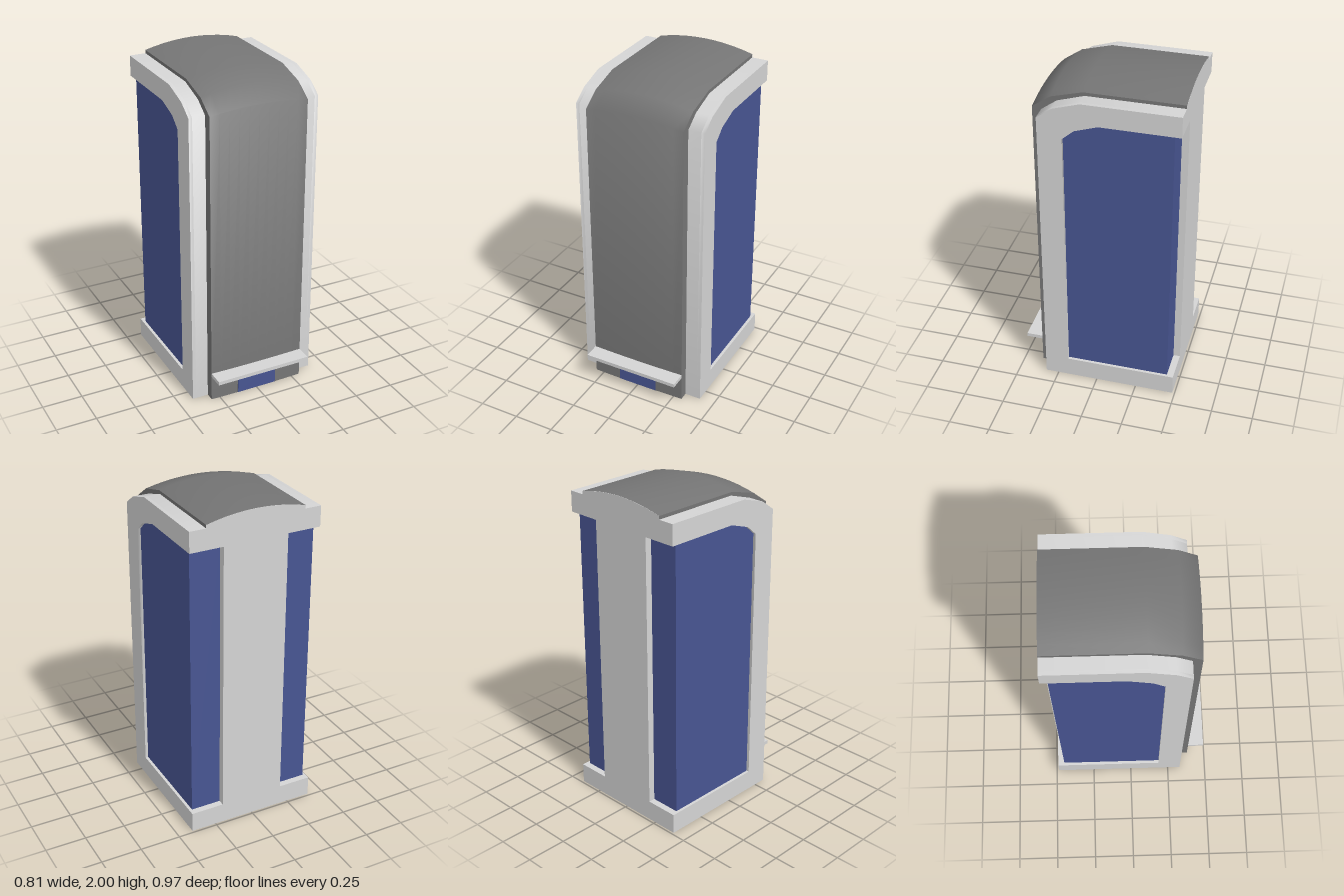
import * as THREE from 'three';
import { toCreasedNormals } from 'three/addons/utils/BufferGeometryUtils.js';

const material = (name, color) => new THREE.MeshStandardMaterial({ name, color });

export function createModel() {
  const group = new THREE.Group();
  const light = material('light grey', 0xd4d4d4);
  const dark = material('dark grey', 0x757575);
  const blue = material('blue', 0x485592);

  const add = (name, geometry, mat) => {
    const mesh = new THREE.Mesh(geometry, mat);
    mesh.name = name;
    group.add(mesh);
    return mesh;
  };
  const box = (name, mat, x0, x1, y0, y1, z0, z1) =>
    add(name, new THREE.BoxGeometry(x1 - x0, y1 - y0, z1 - z0), mat)
      .position.set((x0 + x1) / 2, (y0 + y1) / 2, (z0 + z1) / 2);
  // Extrudes an outline of [z, y] points sideways, from x0 to x1
  const slab = (name, mat, points, x0, x1) => {
    const shape = new THREE.Shape(points.map(([z, y]) => new THREE.Vector2(z, y)));
    const g = new THREE.ExtrudeGeometry(shape, { depth: x1 - x0, bevelEnabled: false });
    g.rotateY(-Math.PI / 2).translate(x1, 0, 0);
    add(name, toCreasedNormals(g, 1.0), mat);
  };

  const W = 0.405, INNER = 0.383, BACK = -0.485, INSET = -0.44, SPINE = 0.2;
  const BASE = 0.125, HEAD = 1.815, TOP = 1.94;
  const outer = [[0.33, 0], [0.33, 1.825], [0.24, 1.89], [0.08, TOP]];
  const pane = [[0.185, BASE], [0.185, 1.71], [0.115, 1.77], [-0.02, HEAD]];

  // Inner body, back spine and the ledges above and below the windows
  slab('body', light, [...outer, [INSET, TOP], [INSET, 0]], -INNER, INNER);
  box('backSpine', light, -SPINE, SPINE, BASE, HEAD, BACK, INSET);
  box('backBase', light, -INNER, INNER, 0, BASE, BACK, INSET);
  box('backHead', light, -INNER, INNER, HEAD, TOP, BACK, INSET);

  // Side frames and the windows wrapping round the back corners
  const frame = [...outer, [BACK, TOP], [BACK, HEAD], ...[...pane].reverse(), [BACK, BASE], [BACK, 0]];
  const glass = [...pane, [INSET - 0.004, HEAD], [INSET - 0.004, BASE]];
  for (const s of [-1, 1]) {
    const span = (a, b) => (s > 0 ? [a, b] : [-b, -a]);
    slab('sideFrame', light, frame, ...span(INNER, W));
    slab('sideWindow', blue, glass, ...span(INNER, INNER + 0.004));
    box('backWindow', blue, ...span(SPINE, INNER), BASE, HEAD, INSET - 0.004, INSET);
  }

  // Arched cover: stations of [z, y, z drop at edge, y drop at edge, inner z, inner y]
  const stations = [
    [0.39, 0, 0.005, 0, 0.33, 0],
    [0.39, 1.86, 0.005, 0.025, 0.33, 1.825],
    [0.28, 1.945, 0.005, 0.035, 0.24, 1.89],
    [0.09, 2, 0, 0.04, 0.08, TOP],
    [BACK, 2, 0, 0.04, BACK, TOP],
  ];
  const HALF = 0.305;
  const grid = (name, cols, point) => {
    const pos = [], index = [];
    stations.forEach((st, r) => {
      for (let c = 0; c <= cols; c++) {
        pos.push(...point(st, c / cols));
        if (r && c) {
          const d = r * (cols + 1) + c, b = d - cols - 1;
          index.push(b - 1, b, d, b - 1, d, d - 1);
        }
      }
    });
    const g = new THREE.BufferGeometry();
    g.setAttribute('position', new THREE.Float32BufferAttribute(pos, 3));
    g.setIndex(index);
    add(name, toCreasedNormals(g, 1.0), dark);
  };
  const outside = (st, x) => {
    const k = (x / HALF) ** 2;
    return [x, st[1] - st[3] * k, st[0] - st[2] * k];
  };
  grid('cover', 10, (st, t) => outside(st, (2 * t - 1) * HALF));
  grid('coverLeftEdge', 1, (st, t) => (t ? [HALF, st[5], st[4]] : outside(st, HALF)));
  grid('coverRightEdge', 1, (st, t) => (t ? outside(st, -HALF) : [-HALF, st[5], st[4]]));

  // Closing plates behind the arch and under the cover
  const arch = new THREE.Shape();
  arch.moveTo(-HALF, TOP - 0.005).lineTo(HALF, TOP - 0.005);
  for (let i = 10; i >= 0; i--) {
    const x = (i / 5 - 1) * HALF;
    arch.lineTo(x, outside(stations[4], x)[1]);
  }
  const archGeometry = new THREE.ExtrudeGeometry(arch, { depth: 0.004, bevelEnabled: false });
  add('backArch', archGeometry.translate(0, -0.001, BACK), light);
  box('coverBottom', light, -HALF + 0.001, HALF - 0.001, 0, 0.004, 0.33, 0.384);

  // Front shelf and the small panel below it
  box('shelf', light, -HALF, HALF, 0.163, 0.186, 0.33, 0.485);
  box('frontPanelRim', dark, -0.133, 0.133, 0, 0.144, 0.385, 0.391);
  box('frontPanel', blue, -0.128, 0.128, 0.002, 0.139, 0.386, 0.393);

  return group;
}
